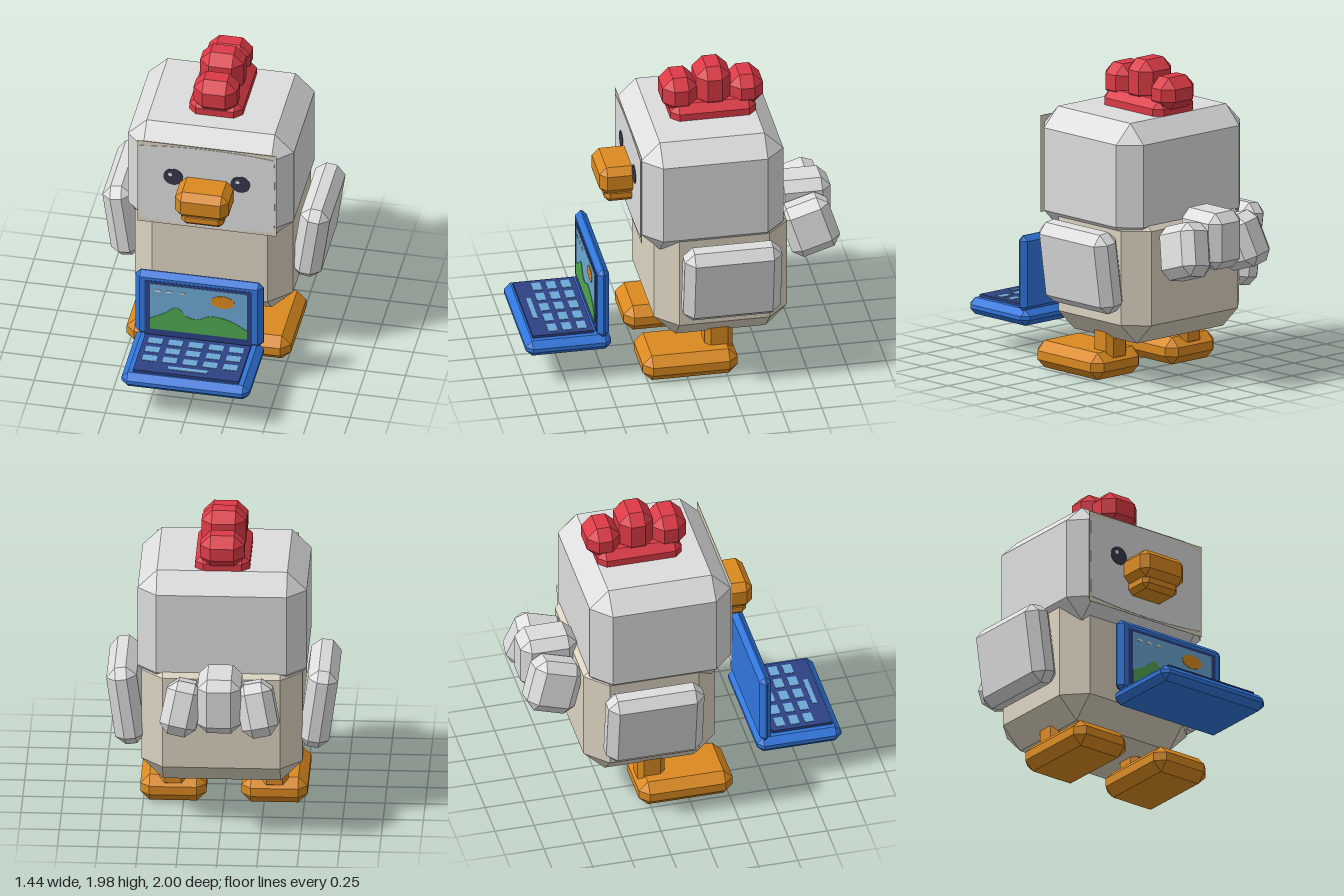
import * as THREE from 'three';
import { ConvexGeometry } from 'three/addons/geometries/ConvexGeometry.js';

const material = (name, color) => {
  const m = new THREE.MeshStandardMaterial({ color });
  m.name = name;
  return m;
};

// Box with chamfered edges and corners
function chamferBox(w, h, d, c) {
  const pts = [];
  for (const x of [-1, 1]) for (const y of [-1, 1]) for (const z of [-1, 1]) {
    const [a, b, e] = [w / 2, h / 2, d / 2];
    pts.push(new THREE.Vector3(x * a, y * (b - c), z * (e - c)));
    pts.push(new THREE.Vector3(x * (a - c), y * b, z * (e - c)));
    pts.push(new THREE.Vector3(x * (a - c), y * (b - c), z * e));
  }
  return new ConvexGeometry(pts);
}

export function createModel() {
  const grey = material('feather grey', 0xdddddd);
  const beige = material('belly beige', 0xdcd3c0);
  const red = material('comb red', 0xdc3a46);
  const orange = material('beak orange', 0xdb8a20);
  const blue = material('laptop blue', 0x3176dc);
  const navy = material('panel navy', 0x2e4184);
  const sky = material('sky blue', 0x6ca8d4);
  const green = material('hill green', 0x4fa650);
  const dark = material('eye dark', 0x37364c);
  const white = material('white', 0xf4f4f4);

  const model = new THREE.Group();
  model.name = 'birdWithLaptop';

  const add = (name, geometry, mat, pos = [0, 0, 0]) => {
    const mesh = new THREE.Mesh(geometry, mat);
    mesh.name = name;
    mesh.position.set(...pos);
    model.add(mesh);
    return mesh;
  };
  // Chamfered block given by its minimum and maximum on each axis
  const block = (name, mat, [x0, x1], [y0, y1], [z0, z1], c) =>
    add(name, chamferBox(x1 - x0, y1 - y0, z1 - z0, c), mat,
      [(x0 + x1) / 2, (y0 + y1) / 2, (z0 + z1) / 2]);
  // Thin upright plate cut from a shape, its back at z
  const plate = (name, mat, shape, z, depth = 0.003) =>
    add(name, new THREE.ExtrudeGeometry(shape, { depth, bevelEnabled: false, curveSegments: 16 }), mat, [0, 0, z]);
  const rect = (x0, x1, y0, y1) => new THREE.Shape([
    new THREE.Vector2(x0, y0), new THREE.Vector2(x1, y0),
    new THREE.Vector2(x1, y1), new THREE.Vector2(x0, y1)]);
  const oval = (x, y, rx, ry) => new THREE.Shape().absellipse(x, y, rx, ry, 0, Math.PI * 2);

  // Body and head
  block('body', beige, [-0.5, 0.5], [0.26, 1.13], [-0.65, 0.19], 0.135);
  block('head', grey, [-0.525, 0.525], [0.9, 1.665], [-0.62, 0.28], 0.12);

  // Face plate with a beige rim, bowed inside
  plate('faceRim', beige, rect(-0.44, 0.44, 0.975, 1.59), 0.28);
  const face = new THREE.Shape();
  face.moveTo(-0.425, 1.01);
  face.quadraticCurveTo(0, 0.96, 0.425, 1.01);
  face.quadraticCurveTo(0.435, 1.28, 0.425, 1.555);
  face.quadraticCurveTo(0, 1.605, -0.425, 1.555);
  face.quadraticCurveTo(-0.435, 1.28, -0.425, 1.01);
  plate('face', grey, face, 0.283);
  for (const s of [-1, 1]) {
    plate('eye', dark, oval(s * 0.213, 1.345, 0.062, 0.06), 0.286);
    plate('eyeGlint', white, oval(s * 0.213 - 0.018, 1.363, 0.013, 0.013), 0.289);
  }

  // Beak
  block('upperBeak', orange, [-0.17, 0.17], [1.17, 1.355], [0.2, 0.49], 0.045);
  block('lowerBeak', orange, [-0.135, 0.135], [1.103, 1.2], [0.2, 0.455], 0.03);

  // Comb: a ridge with three knobs
  block('combRidge', red, [-0.17, 0.17], [1.6, 1.76], [-0.5, 0.04], 0.05);
  for (const [z0, z1, y0, y1] of [[-0.14, 0.08, 1.69, 1.92], [-0.35, -0.13, 1.7, 1.98], [-0.555, -0.34, 1.69, 1.9]])
    block('combKnob', red, [-0.138, 0.138], [y0, y1], [z0, z1], 0.065);

  for (const s of [-1, 1]) {
    // Wings lean outward at the top
    const wing = add('wing', chamferBox(0.19, 0.52, 0.615, 0.06), grey, [s * 0.598, 0.742, -0.257]);
    wing.rotation.z = -s * 0.14;

    // Legs and feet
    const x = s * 0.315;
    block('leg', orange, [x - 0.085, x + 0.085], [0.1, 0.4], [-0.305, -0.13], 0.035);
    block('foot', orange, [x - 0.205, x + 0.205], [0, 0.172], [-0.32, 0.28], 0.058);

    // Outer tail feathers, pitched up and splayed
    const feather = add('sideTailFeather', chamferBox(0.23, 0.34, 0.32, 0.06), grey, [s * 0.235, 0.875, -0.815]);
    feather.rotation.set(0.31, 0, s * 0.2);
  }
  block('middleTailFeather', grey, [-0.135, 0.135], [0.75, 1.11], [-0.98, -0.62], 0.06);

  // Laptop base and keyboard
  block('laptopBase', blue, [-0.405, 0.405], [0.2, 0.305], [0.46, 1.0], 0.04);
  add('keyboardPanel', new THREE.BoxGeometry(0.67, 0.02, 0.385), navy, [0, 0.312, 0.757]);
  const key = (name, w, d, x, z) => add(name, new THREE.BoxGeometry(w, 0.004, d), sky, [x, 0.323, z]);
  for (let row = 0; row < 3; row++)
    for (let col = -2; col <= 2; col++) key('key', 0.09, 0.058, col * 0.128, 0.63 + row * 0.092);
  key('spaceBar', 0.25, 0.03, 0, 0.892);

  // Laptop screen and its landscape
  block('laptopLid', blue, [-0.405, 0.405], [0.29, 0.775], [0.475, 0.549], 0.033);
  plate('screenBezel', navy, rect(-0.34, 0.34, 0.31, 0.722), 0.548);
  plate('screenSky', sky, rect(-0.307, 0.307, 0.36, 0.702), 0.551);
  const hills = new THREE.Shape();
  hills.moveTo(-0.307, 0.36);
  hills.lineTo(0.307, 0.36);
  hills.lineTo(0.307, 0.425);
  hills.splineThru([[0.2, 0.485], [0.08, 0.505], [0, 0.47], [-0.07, 0.48], [-0.14, 0.54], [-0.22, 0.485], [-0.307, 0.44]]
    .map(([x, y]) => new THREE.Vector2(x, y)));
  plate('screenHills', green, hills, 0.554);
  plate('screenSun', orange, oval(0.153, 0.622, 0.075, 0.045), 0.554);
  for (const x of [-0.255, -0.185, -0.105])
    plate('screenCloud', white, oval(x, 0.655, 0.02, 0.007), 0.554);

  return model;
}
